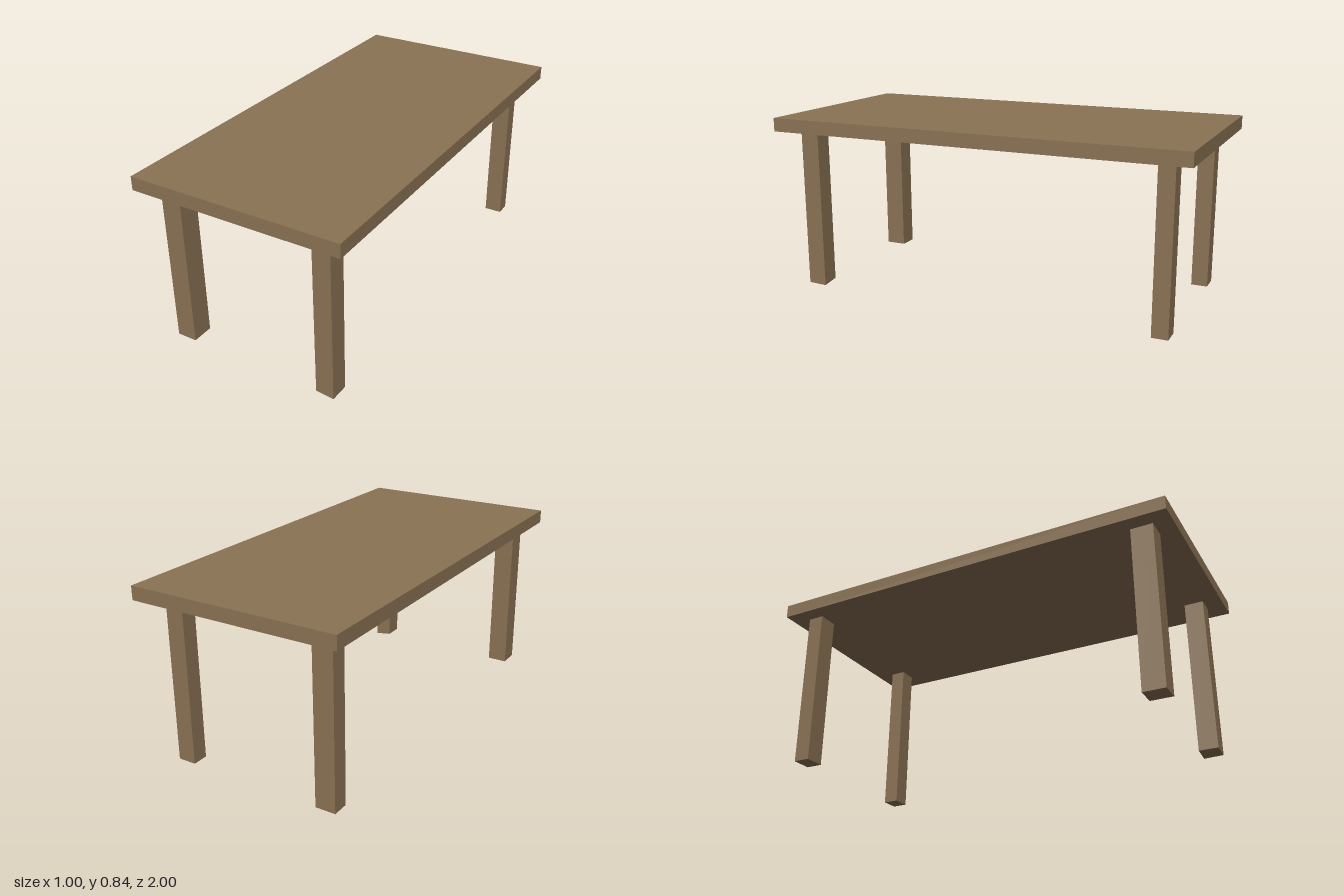
import * as THREE from 'three';

const wood = new THREE.MeshStandardMaterial({ color: 0x8b7355, flatShading: true });

const TOP = 0.84, UNDER = 0.776, FOOT = 0.012;

// Axis-aligned box given by its limits
function block(name, [x0, x1], [y0, y1], [z0, z1]) {
  const geometry = new THREE.BoxGeometry(x1 - x0, y1 - y0, z1 - z0);
  geometry.translate((x0 + x1) / 2, (y0 + y1) / 2, (z0 + z1) / 2);
  const mesh = new THREE.Mesh(geometry, wood);
  mesh.name = name;
  return mesh;
}

export function createModel() {
  const table = new THREE.Group();
  table.name = 'table';

  // Table top
  table.add(block('tableTop', [-0.5, 0.5], [UNDER, TOP], [-1, 1]));

  // Four hand-cut legs, each a little different in section
  const legs = [
    ['frontLeftLeg', [0.318, 0.403], [0.825, 0.917]],
    ['frontRightLeg', [-0.425, -0.329], [0.815, 0.917]],
    ['backLeftLeg', [0.316, 0.403], [-0.91, -0.835]],
    ['backRightLeg', [-0.425, -0.329], [-0.912, -0.834]],
  ];
  for (const [name, xs, zs] of legs) {
    table.add(block(name, xs, [FOOT, UNDER], zs));
  }

  // The front left foot is cut at a slant, lowest at its outer side
  const geometry = table.getObjectByName('frontLeftLeg').geometry;
  const p = geometry.attributes.position;
  for (let i = 0; i < p.count; i++) {
    if (p.getY(i) < 0.1 && p.getX(i) > 0.36) p.setY(i, p.getZ(i) > 0.87 ? 0.003 : 0);
  }
  geometry.computeVertexNormals();

  return table;
}
